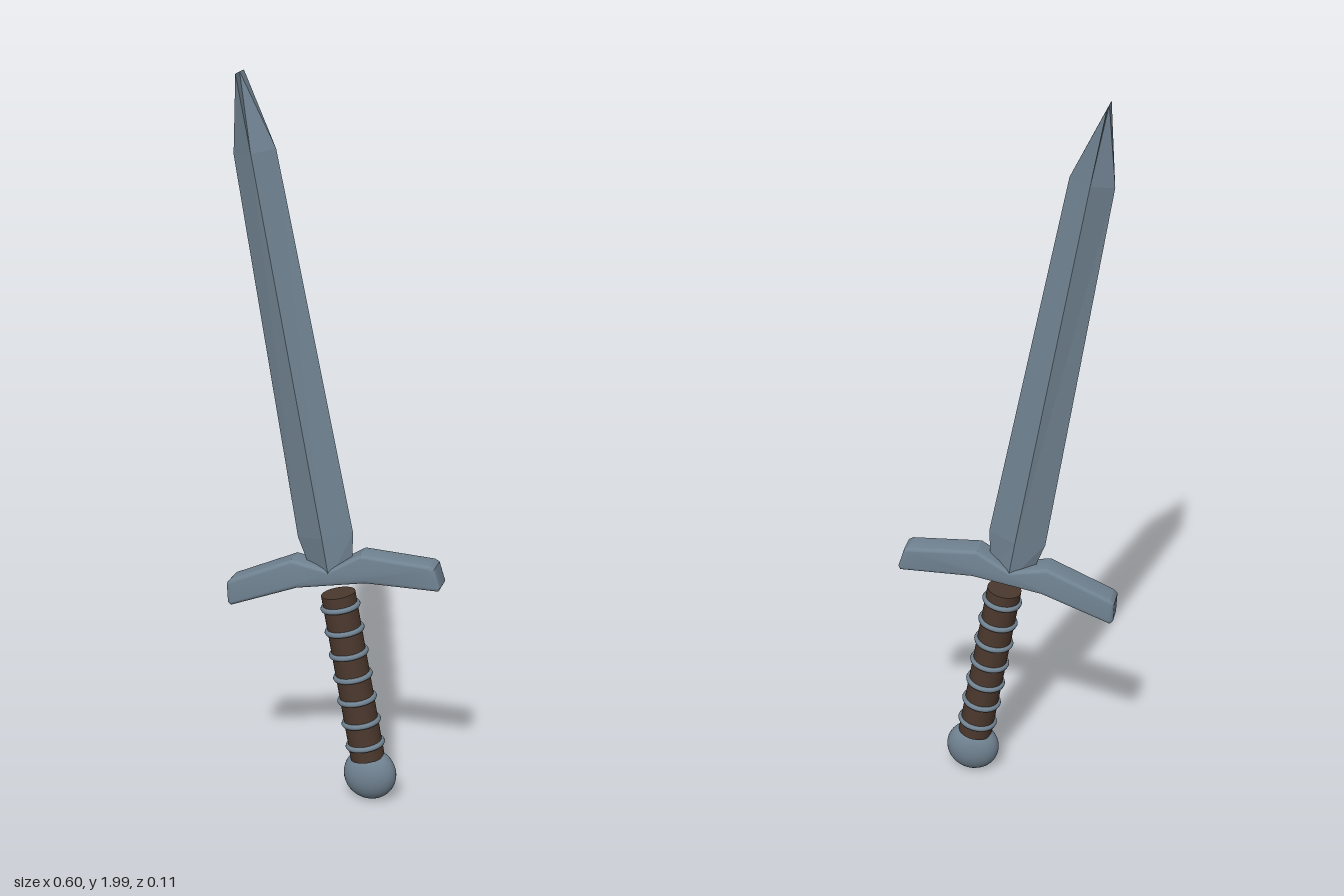
import * as THREE from 'three';
import { toCreasedNormals } from 'three/addons/utils/BufferGeometryUtils.js';

const steel = new THREE.MeshStandardMaterial({ color: 0x708291 });
steel.name = 'steel';
const leather = new THREE.MeshStandardMaterial({ color: 0x4b382d });
leather.name = 'leather';

function add(parent, name, geometry, material, x = 0, y = 0, z = 0) {
  const mesh = new THREE.Mesh(geometry, material);
  mesh.name = name;
  mesh.position.set(x, y, z);
  parent.add(mesh);
  return mesh;
}

// Diamond-section blade; the tip closes to a short edge along z
function bladeGeometry() {
  const halfDepth = 0.035;
  // height, half width, sideways shift
  const sections = [[-0.03, 0.053, 0], [0.09, 0.078, 0.001], [1.133, 0.058, -0.002], [1.338, 0, -0.004]];
  const positions = [];
  const index = [];
  for (const [y, w, s] of sections) {
    positions.push(s, y, halfDepth, s + w, y, 0, s, y, -halfDepth, s - w, y, 0);
  }
  for (let i = 0; i < sections.length - 1; i++) {
    for (let j = 0; j < 4; j++) {
      const a = i * 4 + j;
      const b = i * 4 + (j + 1) % 4;
      index.push(a, b, b + 4, a, b + 4, a + 4);
    }
  }
  index.push(0, 2, 1, 0, 3, 2);
  const indexed = new THREE.BufferGeometry();
  indexed.setAttribute('position', new THREE.Float32BufferAttribute(positions, 3));
  indexed.setIndex(index);
  const geometry = indexed.toNonIndexed();
  geometry.computeVertexNormals();
  return geometry;
}

// Drooping crossguard with a notch at the blade and softened edges
function guardGeometry() {
  const half = [[0.097, 0.037], [0.283, -0.008], [0.294, -0.017], [0.301, -0.072], [0.294, -0.081], [0.097, -0.044]];
  const mirrored = half.map(([x, y]) => [-x, y]).reverse();
  const outline = [[0, 0], ...half, ...mirrored].reverse();
  const shape = new THREE.Shape(outline.map(([x, y]) => new THREE.Vector2(x, y)));
  const bevel = 0.01;
  const depth = 0.073;
  const geometry = new THREE.ExtrudeGeometry(shape, {
    depth: depth - 2 * bevel,
    bevelEnabled: true,
    bevelThickness: bevel,
    bevelSize: bevel,
    bevelOffset: -bevel,
    bevelSegments: 4,
  });
  geometry.translate(0, 0, -depth / 2 + bevel);
  return toCreasedNormals(geometry, 0.42);
}

export function createModel() {
  const model = new THREE.Group();
  model.name = 'sword';

  // The whole sword leans to one side
  const sword = new THREE.Group();
  sword.name = 'leaningSword';
  sword.position.set(-0.015, 0.68, 0);
  sword.rotation.z = THREE.MathUtils.degToRad(10.1);
  model.add(sword);

  add(sword, 'blade', bladeGeometry(), steel);
  add(sword, 'crossguard', guardGeometry(), steel, 0, 0, -0.001);

  // Grip, separate from the guard by a small gap
  const gripX = 0.007;
  const gripTop = -0.077;
  const gripBottom = -0.56;
  add(sword, 'grip', new THREE.CylinderGeometry(0.047, 0.047, gripTop - gripBottom, 24),
    leather, gripX, (gripTop + gripBottom) / 2);

  // Wire rings around the grip
  const ringGeometry = new THREE.TorusGeometry(0.047, 0.008, 8, 32).rotateX(Math.PI / 2);
  for (let i = 0; i < 7; i++) {
    add(sword, 'gripRing', ringGeometry, steel, gripX, -0.114 - i * 0.0677);
  }

  // Flattened ball pommel
  const pommel = add(sword, 'pommel', new THREE.SphereGeometry(0.074, 32, 20), steel, 0.005, -0.611);
  pommel.scale.z = 0.65;

  return model;
}
